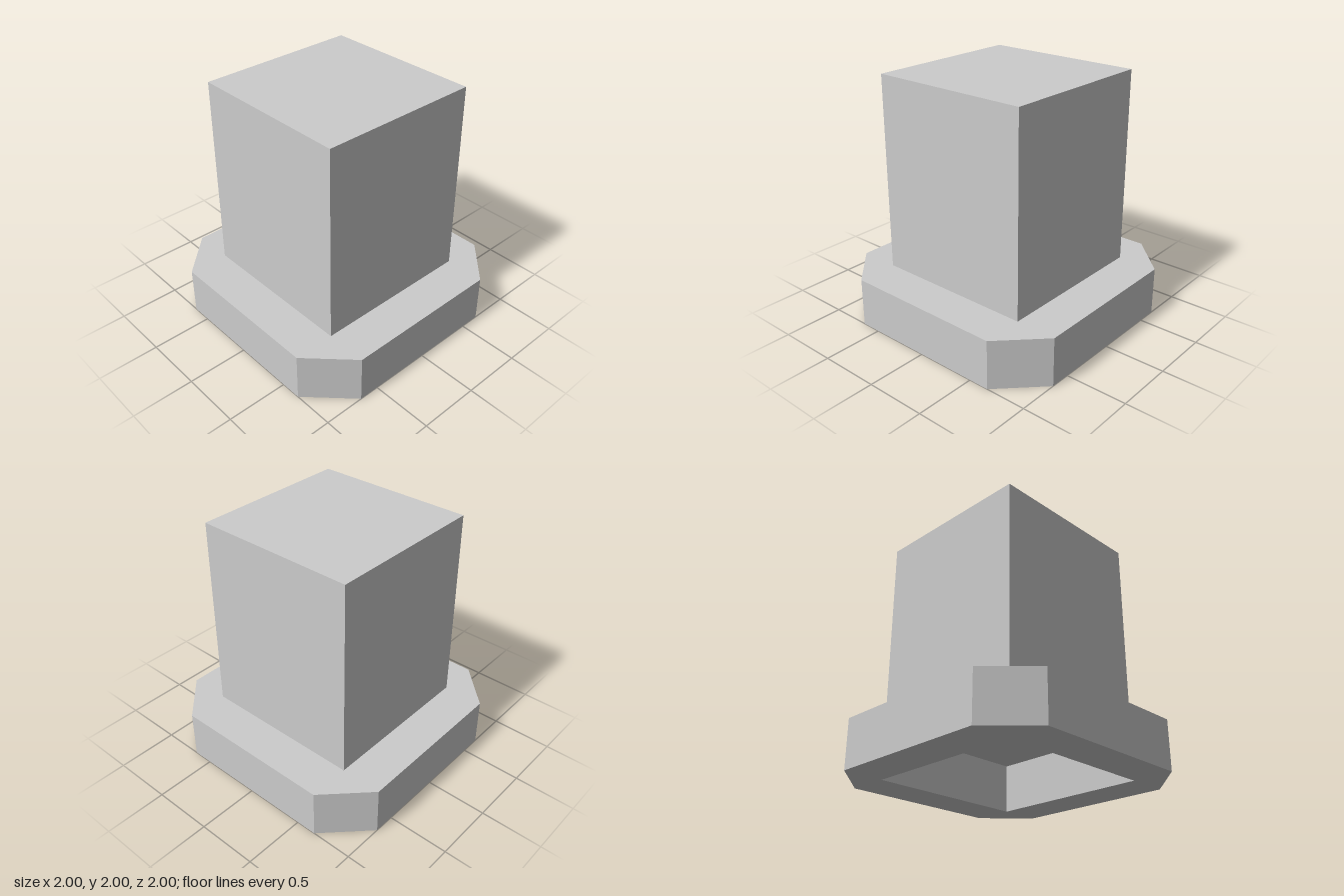
import * as THREE from 'three';

const HALF = 1;          // half width of the base
const INNER = 2 / 3;     // half width of the block and of the opening
const BASE_HEIGHT = 0.4;
const TOTAL_HEIGHT = 2;

export function createModel() {
  const group = new THREE.Group();
  const material = new THREE.MeshStandardMaterial({ color: 0xcccccc, flatShading: true });

  // Base ring: a square with cut corners and a square opening
  const a = HALF, b = INNER;
  const points = (list) => list.map(([x, y]) => new THREE.Vector2(x, y));
  const outline = new THREE.Shape(points([
    [b, -a], [a, -b], [a, b], [b, a], [-b, a], [-a, b], [-a, -b], [-b, -a],
  ]));
  outline.holes.push(new THREE.Path(points([[-b, -b], [-b, b], [b, b], [b, -b]])));
  const baseGeometry = new THREE.ExtrudeGeometry(outline, { depth: BASE_HEIGHT, bevelEnabled: false });
  baseGeometry.rotateX(-Math.PI / 2);
  const base = new THREE.Mesh(baseGeometry, material);
  base.name = 'baseRing';
  group.add(base);

  // Block standing over the opening, leaving a recess below
  const blockHeight = TOTAL_HEIGHT - BASE_HEIGHT;
  const block = new THREE.Mesh(new THREE.BoxGeometry(2 * INNER, blockHeight, 2 * INNER), material);
  block.position.y = BASE_HEIGHT + blockHeight / 2;
  block.name = 'block';
  group.add(block);

  return group;
}
